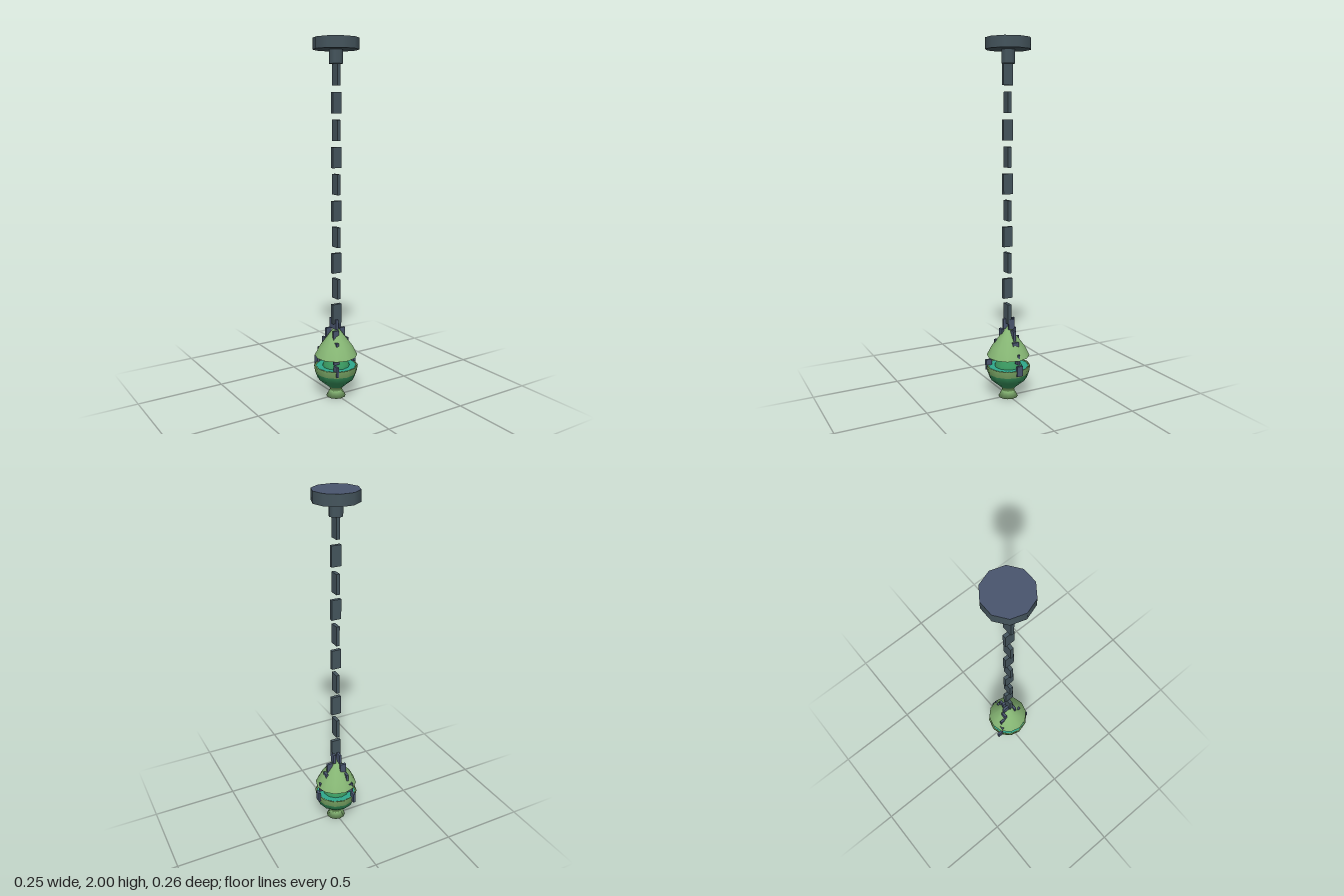
import * as THREE from 'three';

const mat = (name, color, side = THREE.FrontSide) => {
  const m = new THREE.MeshStandardMaterial({ color, side });
  m.name = name;
  return m;
};

export function createModel() {
  const iron = mat('dark iron', 0x45555d);
  const slate = mat('slate blue iron', 0x49556e);
  const lightGreen = mat('light green', 0x86b674, THREE.DoubleSide);
  const olive = mat('olive green', 0x6f985c, THREE.DoubleSide);
  const emerald = mat('emerald', 0x37925c, THREE.DoubleSide);
  const teal = mat('teal', 0x2fa88c);

  const model = new THREE.Group();
  const add = (name, geometry, material, x = -0.002, y = 0, z = 0) => {
    const mesh = new THREE.Mesh(geometry, material);
    mesh.name = name;
    mesh.position.set(x, y, z);
    model.add(mesh);
    return mesh;
  };
  const lathe = (name, points, material) =>
    add(name, new THREE.LatheGeometry(points.map(p => new THREE.Vector2(...p)), 12), material);

  // Ceiling mount: ten-sided plate with a short socket
  const plate = add('ceilingPlate', new THREE.CylinderGeometry(0.125, 0.125, 0.06, 10), [iron, slate, iron], -0.002, 1.97);
  plate.rotation.y = Math.PI / 2;
  const socket = add('ceilingSocket', new THREE.CylinderGeometry(0.038, 0.038, 0.075, 8), iron, -0.002, 1.9045);
  socket.rotation.y = Math.PI / 2;

  // Main chain: plain blocks, each turned a quarter from the last
  for (let i = 0; i < 10; i++) {
    const link = add('chainLink', new THREE.BoxGeometry(0.02, 0.113, 0.056), iron, -0.003, 1.81 - i * 0.1467, 0.004);
    link.rotation.y = i % 2 ? Math.PI / 2 : 0;
  }

  // Three small chains spreading from the main chain to the bowl rim
  for (let c = 0; c < 3; c++) {
    const a = c * Math.PI * 2 / 3;
    for (let i = 0; i < 5; i++) {
      const r = 0.02 + i * 0.025;
      const link = add('supportLink', new THREE.BoxGeometry(0.014, 0.058, 0.036), slate,
        -0.001 + r * Math.cos(a), 0.43 - i * 0.061, -0.008 + r * Math.sin(a));
      link.rotation.y = i % 2 ? Math.PI / 2 : 0;
    }
  }

  // Open-bottomed lid
  lathe('lid', [[0.122, 0.245], [0.095, 0.298], [0.052, 0.355], [0.022, 0.395], [0, 0.418]], lightGreen);

  // Bowl, from the foot upwards
  lathe('foot', [[0, 0], [0.056, 0], [0.036, 0.036]], lightGreen);
  lathe('neck', [[0.036, 0.036], [0.034, 0.045], [0.046, 0.06]], olive);
  lathe('bowl', [[0.046, 0.06], [0.107, 0.112], [0.12, 0.147]], emerald);
  lathe('rim', [[0.12, 0.147], [0.126, 0.185], [0.116, 0.185], [0.114, 0.176]], olive);

  // Contents: flat surface with a low mound in the middle
  add('bowlSurface', new THREE.CylinderGeometry(0.118, 0.118, 0.008, 12), teal, -0.002, 0.178);
  lathe('mound', [[0.078, 0.18], [0.072, 0.2], [0.038, 0.229], [0, 0.232]], emerald);

  return model;
}
